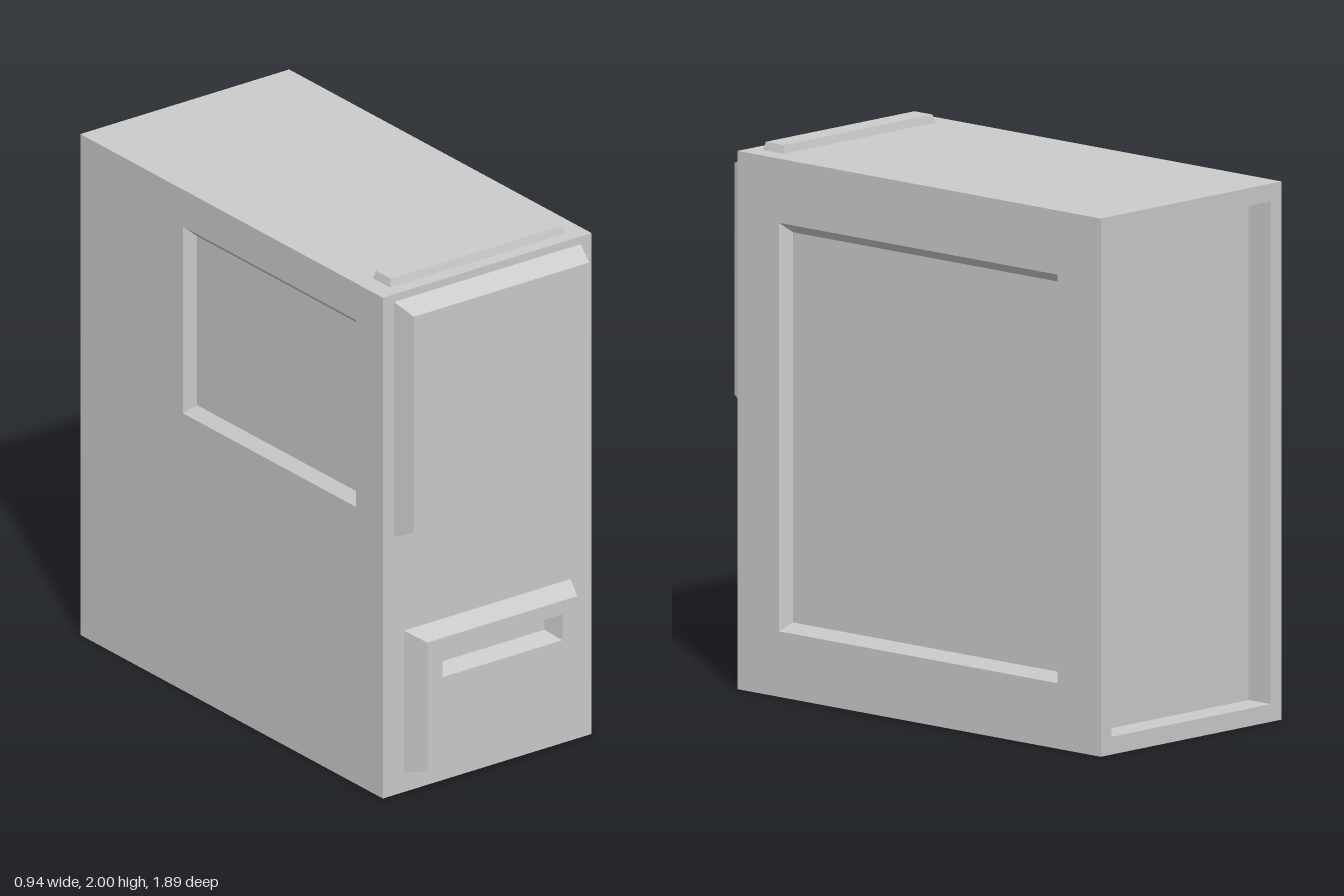
import * as THREE from 'three';

const material = new THREE.MeshStandardMaterial({ color: 0xcccccc, flatShading: true });

// Joins a sequence of rectangles [x0, x1, y0, y1, z] with sloping strips and caps the last one.
// Steps towards lower z form a recess, steps towards higher z form a raised panel.
function steppedPanel(name, rects, rotation = [0, 0, 0]) {
  const rings = rects.map(([x0, x1, y0, y1, z]) => [[x0, y0, z], [x1, y0, z], [x1, y1, z], [x0, y1, z]]);
  const positions = [];
  const quad = (a, b, c, d) => positions.push(...a, ...b, ...c, ...a, ...c, ...d);
  for (let r = 0; r + 1 < rings.length; r++) {
    for (let i = 0; i < 4; i++) {
      const j = (i + 1) % 4;
      quad(rings[r][i], rings[r][j], rings[r + 1][j], rings[r + 1][i]);
    }
  }
  quad(...rings[rings.length - 1]);
  const geometry = new THREE.BufferGeometry();
  geometry.setAttribute('position', new THREE.Float32BufferAttribute(positions, 3));
  geometry.computeVertexNormals();
  const mesh = new THREE.Mesh(geometry, material);
  mesh.name = name;
  mesh.rotation.set(...rotation);
  return mesh;
}

export function createModel() {
  const model = new THREE.Group();
  model.name = 'computerCase';
  const W = 0.47, H = 1.97, front = 0.855, back = 0.945, Q = Math.PI / 2;

  // Case body: one panel per side, with recesses in both flanks and the back
  const body = new THREE.Group();
  body.name = 'caseBody';
  body.add(
    steppedPanel('frontFace', [[-W, W, 0, H, front]]),
    steppedPanel('topFace', [[-W, W, -front, back, H]], [-Q, 0, 0]),
    steppedPanel('bottomFace', [[-W, W, -back, front, 0]], [Q, 0, 0]),
    steppedPanel('leftSide', [
      [-front, back, 0, H, W],
      [-0.65, 0.73, 0.24, 1.735, W],
      [-0.615, 0.697, 0.272, 1.7, W - 0.037],
    ], [0, Q, 0]),
    steppedPanel('rightSide', [
      [-back, front, 0, H, W],
      [-0.335, 0.695, 1.09, 1.825, W],
      [-0.3, 0.66, 1.125, 1.79, W - 0.037],
    ], [0, -Q, 0]),
    steppedPanel('backSide', [
      [-W, W, 0, H, back],
      [-0.415, 0.415, 0.065, 1.905, back],
      [-0.415, 0.415, 0.065, 1.905, back - 0.11],
    ], [0, 2 * Q, 0]),
  );
  model.add(body);

  // Raised drive cover with bevelled edges
  model.add(steppedPanel('upperFrontPanel', [
    [-0.42, 0.42, 1.015, 1.94, front],
    [-0.395, 0.395, 1.055, 1.905, 0.94],
  ]));

  // Raised lower cover with a recessed slot
  model.add(steppedPanel('lowerFrontPanel', [
    [-0.375, 0.375, 0.075, 0.635, front],
    [-0.338, 0.338, 0.105, 0.61, 0.945],
    [-0.27, 0.27, 0.455, 0.557, 0.945],
    [-0.25, 0.25, 0.473, 0.54, 0.865],
  ]));

  // Low bar on the top near the front
  model.add(steppedPanel('topBar', [
    [-0.395, 0.395, -0.8, -0.697, H],
    [-0.387, 0.387, -0.793, -0.704, 2],
  ], [-Q, 0, 0]));

  return model;
}
